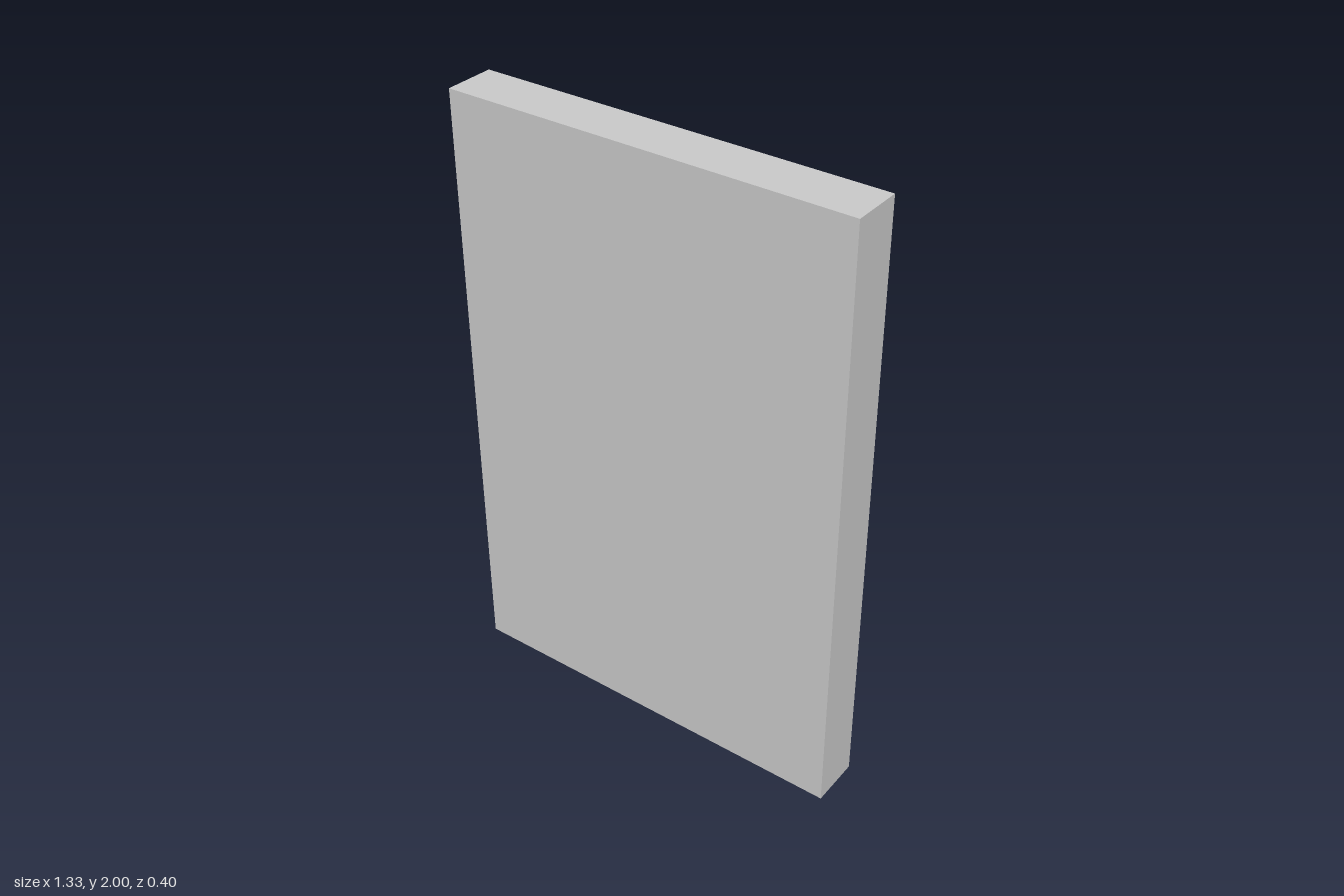
import * as THREE from 'three';

const material = new THREE.MeshStandardMaterial({ color: 0xcccccc, flatShading: true });

function part(name, geometry, parent) {
  const flat = geometry.index ? geometry.toNonIndexed() : geometry;
  flat.computeVertexNormals();
  const mesh = new THREE.Mesh(flat, material);
  mesh.name = name;
  parent.add(mesh);
  return mesh;
}

// Rectangular slab whose back half tapers in at 45 degrees
function plateGeometry() {
  const depth = 0.333, inset = 0.167;
  const geometry = new THREE.BoxGeometry(1.333, 2, depth, 1, 1, 2);
  const p = geometry.attributes.position;
  for (let i = 0; i < p.count; i++) {
    if (p.getZ(i) < -0.01) {
      p.setX(i, p.getX(i) - Math.sign(p.getX(i)) * inset);
      p.setY(i, p.getY(i) - Math.sign(p.getY(i)) * inset);
    }
  }
  return geometry.translate(0, 1, 0.2 - depth / 2);
}

// Points of a regular polygon
function polygon(radius, sides, offset) {
  return Array.from({ length: sides }, (_, i) => {
    const a = offset + (i / sides) * Math.PI * 2;
    return new THREE.Vector2(Math.cos(a) * radius, Math.sin(a) * radius);
  });
}

export function createModel() {
  const model = new THREE.Group();
  part('plate', plateGeometry(), model);

  // Spiked ring, built facing +z and turned to the back of the plate
  const spikes = 10, radius = 0.3, tip = 0.44, height = 0.067;
  const star = new THREE.Group();
  star.name = 'spikedRing';
  star.position.set(0, 1, -0.133);
  star.rotation.y = Math.PI;
  model.add(star);

  // Flat ring face with a round hole
  const face = new THREE.Shape(polygon(radius, spikes, 0));
  face.holes.push(new THREE.Path(polygon(0.2, 20, 0)));
  part('ringFace', new THREE.ShapeGeometry(face).translate(0, 0, height), star);

  // Chamfered inside of the hole
  const profile = [[0.2, height], [0.165, height / 2], [0.165, 0]];
  const bore = new THREE.LatheGeometry(profile.map(([r, y]) => new THREE.Vector2(r, y)), 20);
  bore.rotateX(Math.PI / 2).rotateZ(Math.PI / 2);
  part('ringBore', bore, star);

  // Four-sided pyramids, one on each side of the ring
  const apothem = radius * Math.cos(Math.PI / spikes);
  const width = 2 * radius * Math.sin(Math.PI / spikes);
  for (let i = 0; i < spikes; i++) {
    const spike = new THREE.ConeGeometry(Math.SQRT1_2, 1, 4, 1, true);
    spike.rotateY(Math.PI / 4);
    spike.scale(width, tip - apothem, height);
    spike.translate(0, (tip + apothem) / 2, height / 2);
    spike.rotateZ((i / spikes) * Math.PI * 2);
    part('spike', spike, star);
  }
  return model;
}
